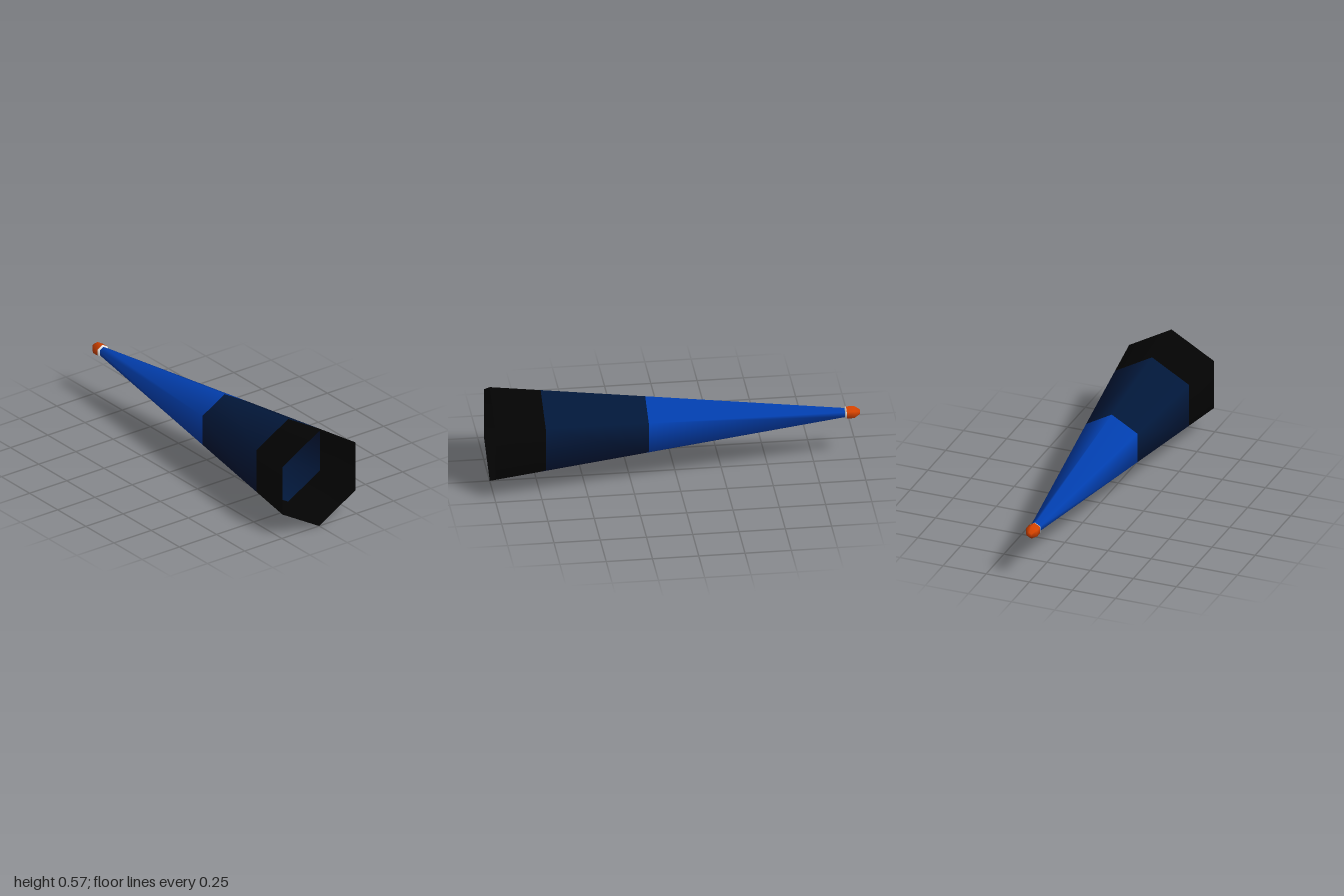
import * as THREE from 'three';

const SIDES = 6;
const AXIS_Y = 0.284;

export function createModel() {
  const group = new THREE.Group();
  group.name = 'taperedHexCone';

  const mat = (name, color) => {
    const m = new THREE.MeshStandardMaterial({ color, side: THREE.DoubleSide });
    m.name = name;
    return m;
  };
  const blue = mat('blue', 0x0240b2);
  const navy = mat('navy', 0x02183b);
  const black = mat('black', 0x030303);
  const orange = mat('orange', 0xd84400);
  const white = mat('white', 0xececec);

  // Lay a piece built along +y down along +x, with a hexagon corner pointing up
  const add = (name, geometry, material) => {
    geometry.rotateZ(-Math.PI / 2);
    const mesh = new THREE.Mesh(geometry, material);
    mesh.name = name;
    mesh.position.y = AXIS_Y;
    group.add(mesh);
  };

  // Hollow shell: three open bands along one straight taper
  const radiusAt = (x) => 0.284 - (1 - x) * 0.1335;
  const bands = [
    ['noseBand', -0.925, 0.16, blue],
    ['middleBand', 0.16, 0.725, navy],
    ['rimBand', 0.725, 1, black],
  ];
  for (const [name, x0, x1, material] of bands) {
    const g = new THREE.CylinderGeometry(
      radiusAt(x1), radiusAt(x0), x1 - x0, SIDES, 1, true, Math.PI / 2);
    g.translate(0, (x0 + x1) / 2, 0);
    add(name, g, material);
  }

  // Turned six-sided pieces, given as [radius, x]
  const turned = (points) => new THREE.LatheGeometry(
    points.map(([r, x]) => new THREE.Vector2(r, x)), SIDES, Math.PI / 2);

  // Blunt tip and the pale plug that closes it towards the shell
  add('tip', turned([[0, -1], [0.014, -1], [0.037, -0.968], [0.037, -0.925]]), orange);
  add('tipPlug', turned([[0.037, -0.925], [0.036, -0.919], [0.027, -0.916], [0, -0.908]]), white);

  return group;
}
